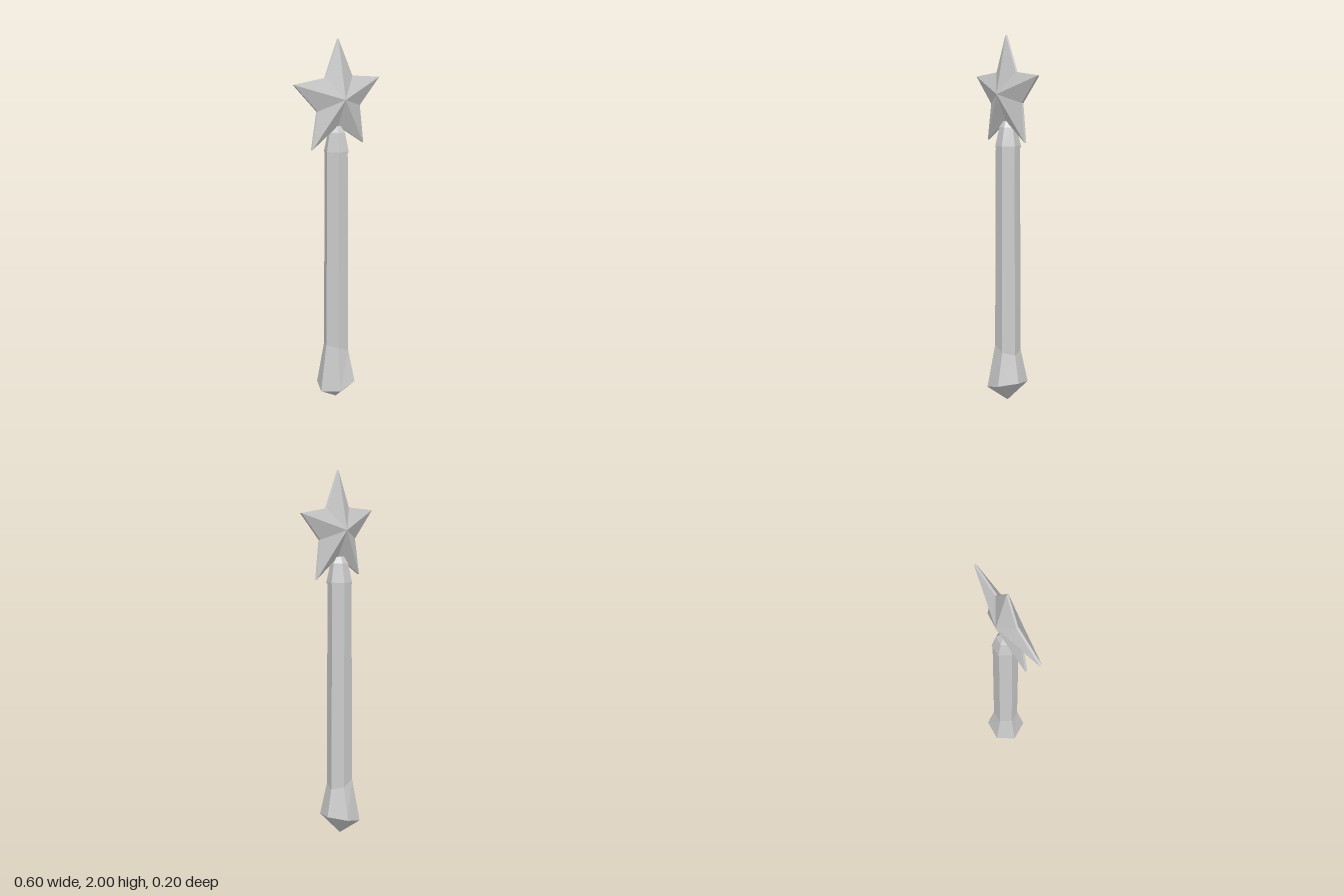
import * as THREE from 'three';

const material = new THREE.MeshStandardMaterial({ color: 0xcccccc, flatShading: true });

// Skin a stack of equal-length loops; a loop with r = 0 closes to a point
function loft(name, loops) {
  const n = loops[0].length;
  const index = [];
  for (let i = 0; i < loops.length - 1; i++) {
    for (let k = 0; k < n; k++) {
      const a = i * n + k, b = i * n + (k + 1) % n;
      const same = (l) => l[0].distanceTo(l[1]) < 1e-6;
      if (!same(loops[i])) index.push(a, b, b + n);
      if (!same(loops[i + 1])) index.push(a, b + n, a + n);
      if (same(loops[i])) index.push(a, b + n, a + n);
      else if (same(loops[i + 1])) continue;
    }
  }
  const indexed = new THREE.BufferGeometry().setFromPoints(loops.flat());
  indexed.setIndex(index);
  const geometry = indexed.toNonIndexed();
  geometry.computeVertexNormals();
  const mesh = new THREE.Mesh(geometry, material);
  mesh.name = name;
  return mesh;
}

// Six-sided ring, corners on the x axis, tilted by slope (dy/dx)
function hexRing([cx, y, rx, rz, slope = 0]) {
  return Array.from({ length: 6 }, (_, k) => {
    const a = k * Math.PI / 3;
    const dx = rx * Math.cos(a);
    return new THREE.Vector3(cx + dx, y + slope * dx, -rz * Math.sin(a));
  });
}

export function createModel() {
  const group = new THREE.Group();
  group.name = 'starWand';

  // Handle: pointed pommel, flared grip with skewed rings, long shaft
  group.add(loft('handle', [
    [-0.005, 0, 0, 0],
    [-0.005, 0.09, 0.11, 0.113, 0.27],
    [-0.002, 0.3, 0.073, 0.07, -0.4],
    [-0.002, 1.41, 0.063, 0.066],
    [-0.002, 1.41, 0, 0],
  ].map(hexRing)));

  // Collar under the star
  group.add(loft('collar', [
    [0, 1.405, 0, 0],
    [0, 1.405, 0.066, 0.07],
    [0, 1.415, 0.066, 0.07],
    [0, 1.515, 0.048, 0.047],
    [0, 1.548, 0.024, 0.026],
    [0, 1.548, 0, 0],
  ].map(hexRing)));

  // Star: outline counterclockwise from the top, thin rim, a peak on each side
  const outline = [
    [0, 2], [-0.09, 1.805], [-0.3, 1.785], [-0.145, 1.637], [-0.183, 1.44],
    [0, 1.55], [0.183, 1.44], [0.155, 1.645], [0.3, 1.785], [0.1, 1.805],
  ];
  const rim = (z) => outline.map(([x, y]) => new THREE.Vector3(x, y, z));
  const peak = (z) => outline.map(() => new THREE.Vector3(0, 1.69, z));
  group.add(loft('star', [peak(-0.053), rim(0.005), rim(0.016), peak(0.073)]));

  return group;
}
